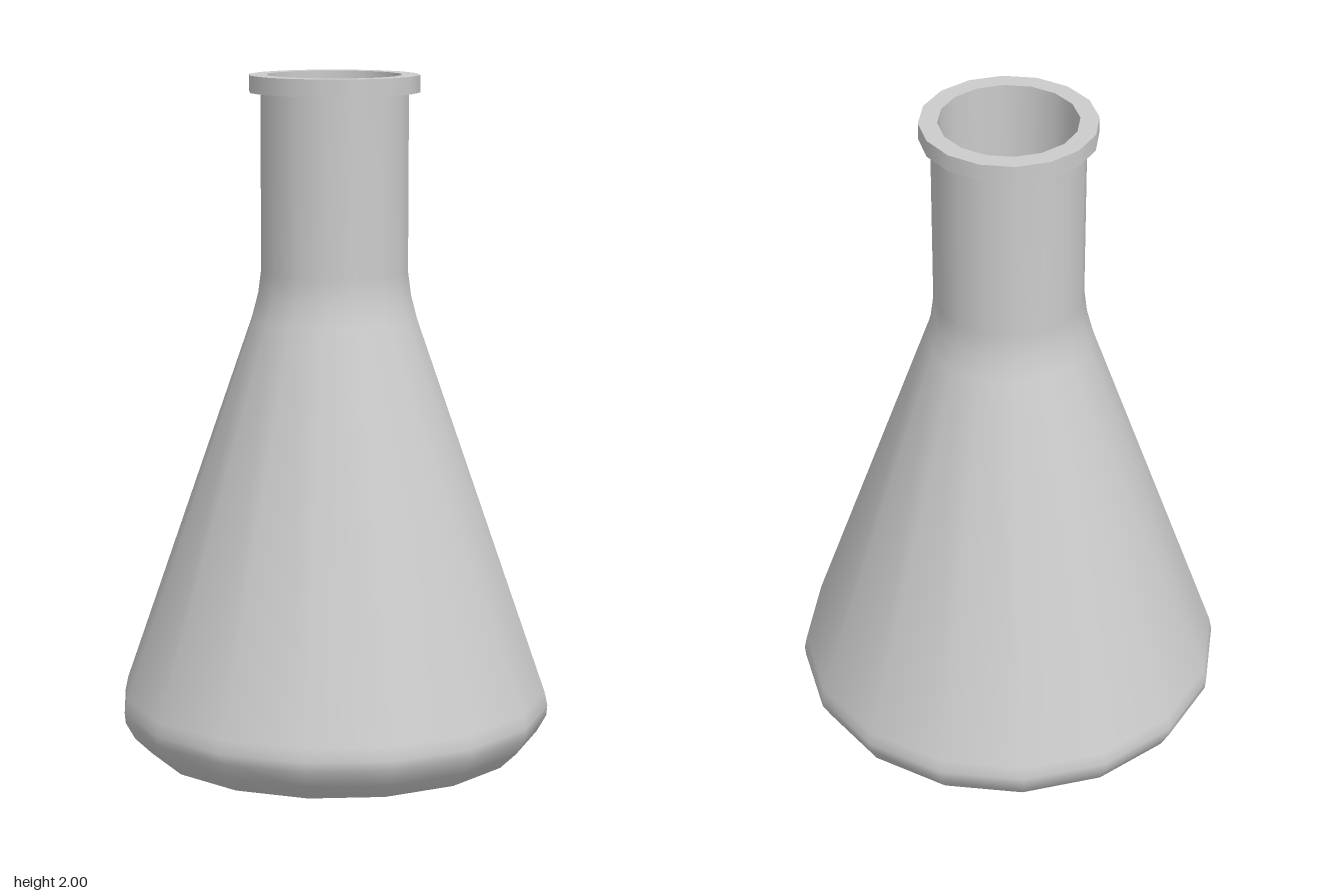
import * as THREE from 'three';

const SIDES = 16;
const HALF = Math.PI / SIDES;
const material = new THREE.MeshStandardMaterial({ color: 0xcccccc });

// Lathe a smooth section; radii are measured to the middle of a side.
function section(name, profile) {
  const points = profile.map(([r, y]) => new THREE.Vector2(r / Math.cos(HALF), y));
  const mesh = new THREE.Mesh(new THREE.LatheGeometry(points, SIDES, HALF), material);
  mesh.name = name;
  return mesh;
}

export function createModel() {
  const flask = new THREE.Group();
  flask.name = 'conicalFlask';

  // Outer wall: rounded foot, cone, shoulder and neck
  const outer = [
    [0.55, 0], [0.6, 0.05], [0.627, 0.1], [0.63, 0.13], [0.622, 0.17],
    [0.24, 1.29], [0.222, 1.36], [0.213, 1.43], [0.213, 1.95],
  ];
  // Inner wall, from mouth down to floor
  const inner = [
    [0.193, 2], [0.193, 1.43], [0.202, 1.36], [0.22, 1.29],
    [0.601, 0.17], [0.609, 0.13], [0.606, 0.105], [0.582, 0.06], [0.541, 0.02],
  ];

  flask.add(
    section('base', [[0, 0], [0.55, 0]]),
    section('outerWall', outer),
    // Lip, with sharp edges between its faces
    section('lipUnderside', [[0.213, 1.95], [0.245, 1.95]]),
    section('lipSide', [[0.245, 1.95], [0.245, 2]]),
    section('lipTop', [[0.245, 2], [0.193, 2]]),
    section('innerWall', inner),
    section('innerFloor', [[0.541, 0.02], [0, 0.02]]),
  );
  return flask;
}
